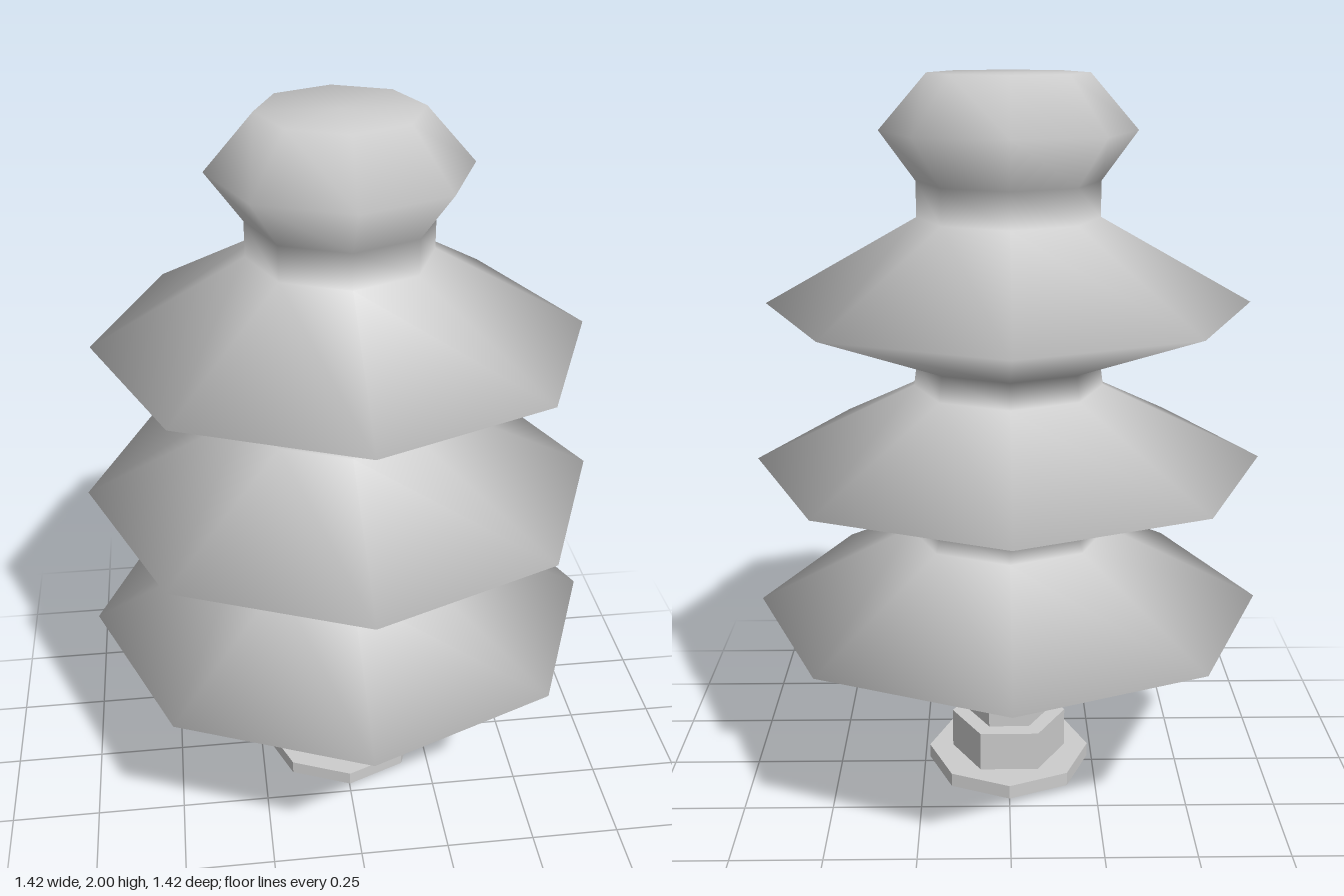
import * as THREE from 'three';

export function createModel() {
  const group = new THREE.Group();
  const grey = new THREE.MeshStandardMaterial({ color: 0xcccccc });
  grey.name = 'light grey';

  // Smooth eight-sided insulator: tapered foot, three sheds, rounded cap
  const profile = [
    [0, 0.265], [0.205, 0.265], [0.255, 0.46],
    [0.71, 0.535], [0.28, 0.75], [0.26, 0.81],
    [0.7, 0.96], [0.26, 1.17], [0.25, 1.24],
    [0.655, 1.4], [0.245, 1.63], [0.245, 1.725],
    [0.34, 1.855], [0.212, 2], [0, 2],
  ].map(([r, y]) => new THREE.Vector2(r, y));
  const body = new THREE.Mesh(new THREE.LatheGeometry(profile, 8), grey);
  body.name = 'insulatorBody';
  group.add(body);

  // Faceted bolt hardware under the body; corners lie on the x axis
  const addPrism = (name, radius, y0, y1, sides) => {
    const geometry = new THREE.CylinderGeometry(radius, radius, y1 - y0, sides, 1, false, Math.PI / 2)
      .toNonIndexed();
    geometry.computeVertexNormals();
    const mesh = new THREE.Mesh(geometry, grey);
    mesh.name = name;
    mesh.position.y = (y0 + y1) / 2;
    group.add(mesh);
  };
  addPrism('boltShank', 0.115, 0.17, 0.27, 6);
  addPrism('hexNut', 0.166, 0.055, 0.17, 6);
  addPrism('washer', 0.235, 0.015, 0.055, 8);
  addPrism('boltEnd', 0.115, 0, 0.015, 6);

  return group;
}
